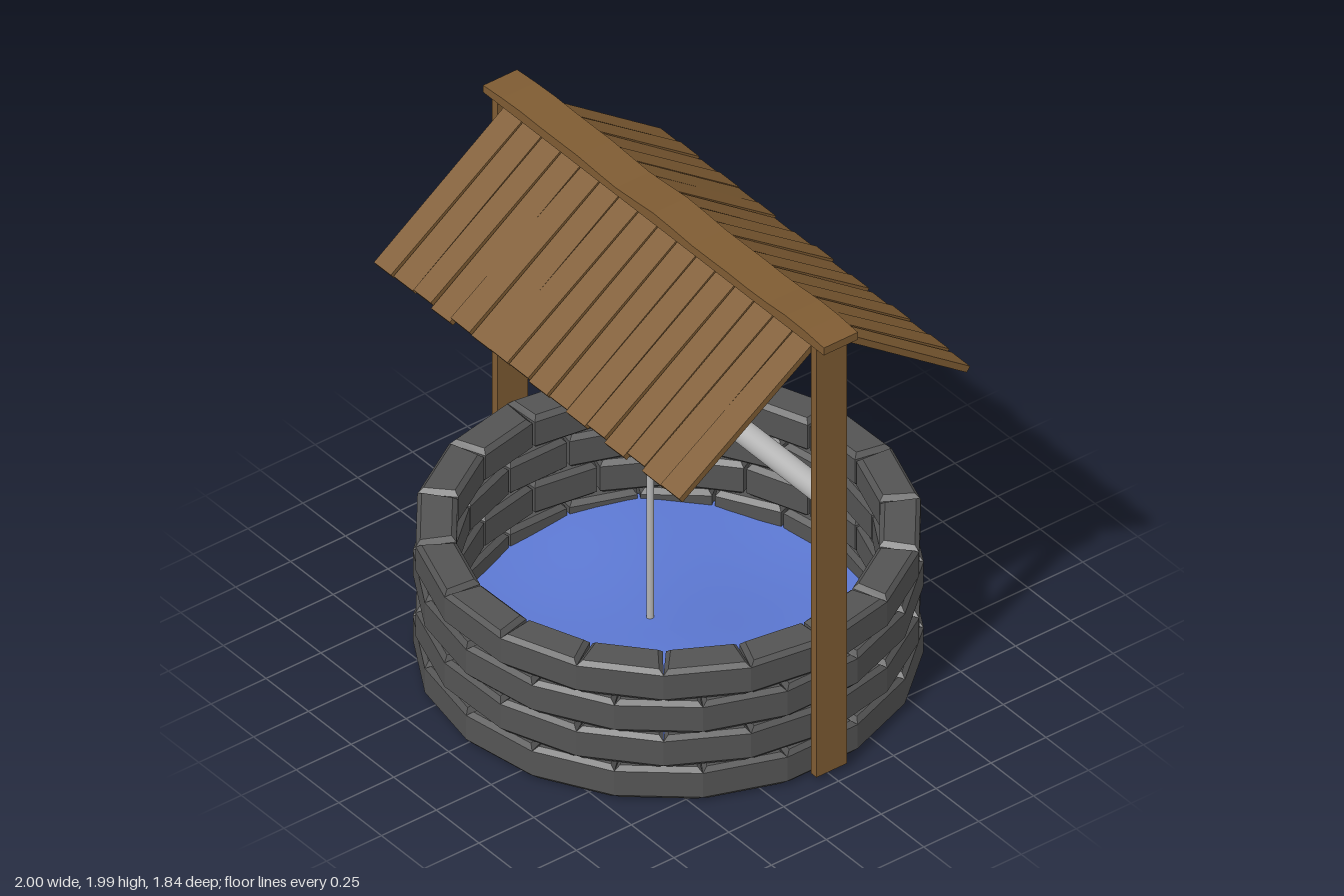
import * as THREE from 'three';

const mat = (name, color, extra = {}) => {
  const m = new THREE.MeshStandardMaterial({ color, ...extra });
  m.name = name;
  return m;
};

// Small seeded random in -1..1 for hand-made irregularity
function seeded(seed) {
  return () => {
    seed = (seed * 16807) % 2147483647;
    return (seed / 2147483647) * 2 - 1;
  };
}

// One bevelled wedge-shaped stone, outer face towards -z
function stoneGeometry(count, inner, outer, height, bevel) {
  const t = Math.tan(Math.PI / count);
  const r0 = inner + bevel, r1 = outer - bevel;
  const w0 = inner * t - bevel - 0.002, w1 = outer * t - bevel - 0.002;
  const shape = new THREE.Shape([
    new THREE.Vector2(-w0, r0), new THREE.Vector2(w0, r0),
    new THREE.Vector2(w1, r1), new THREE.Vector2(-w1, r1),
  ]);
  const g = new THREE.ExtrudeGeometry(shape, {
    depth: height - bevel * 2, bevelEnabled: true,
    bevelSize: bevel, bevelThickness: bevel, bevelSegments: 1,
  });
  g.translate(0, 0, bevel);
  g.rotateX(-Math.PI / 2);
  return g;
}

// Board hanging down along -y from its upper end, wider or narrower at the foot
function plankGeometry(topWidth, footWidth, length, thickness, skew) {
  const g = new THREE.BoxGeometry(1, length, thickness);
  g.translate(0, -length / 2, 0);
  const p = g.attributes.position;
  for (let i = 0; i < p.count; i++) {
    const foot = p.getY(i) < -length / 2;
    p.setX(i, p.getX(i) * (foot ? footWidth : topWidth) + (foot ? skew : 0));
    if (foot) p.setY(i, p.getY(i) + p.getX(i) * skew * 2);
  }
  g.computeVertexNormals();
  return g;
}

export function createModel() {
  const model = new THREE.Group();
  model.name = 'well';
  const wood = mat('wood', 0x7f5c33, { flatShading: true });
  const stone = mat('stone', 0x545454, { flatShading: true });
  const metal = mat('pale grey', 0xb4b4b4);
  const blue = mat('water blue', 0x5c78d2, { side: THREE.DoubleSide });
  const rand = seeded(4711);

  const add = (name, geometry, material, x = 0, y = 0, z = 0, parent = model) => {
    const m = new THREE.Mesh(geometry, material);
    m.name = name;
    m.position.set(x, y, z);
    parent.add(m);
    return m;
  };

  // Stone wall: four staggered rings
  const wall = new THREE.Group();
  wall.name = 'wall';
  model.add(wall);
  const count = 18, step = (Math.PI * 2) / count;
  const stoneGeo = stoneGeometry(count, 0.76, 0.908, 0.143, 0.018);
  for (let row = 0; row < 4; row++) {
    for (let i = 0; i < count; i++) {
      const s = add('stone', stoneGeo, stone, 0, row * 0.148, 0, wall);
      s.rotation.y = (i + (row % 2 ? 0 : 0.5)) * step + (row % 2 ? 0.02 : 0);
    }
  }

  // Rippled water surface
  const waterGeo = new THREE.RingGeometry(0, 0.8, 40, 10);
  waterGeo.rotateX(-Math.PI / 2);
  const wp = waterGeo.attributes.position;
  for (let i = 0; i < wp.count; i++) {
    const x = wp.getX(i), z = wp.getZ(i);
    wp.setY(i, 0.08 + 0.018 * Math.sin(5 * x + 2 * z) + 0.014 * Math.cos(6 * z - 3 * x));
  }
  waterGeo.computeVertexNormals();
  add('water', waterGeo, blue);

  // Posts
  for (const side of [-1, 1]) {
    add('post', new THREE.BoxGeometry(0.033, 1.935, 0.138), wood, side * 0.936, 0.985, -0.005);
  }

  // Ridge beam with an uneven top
  const beamGeo = new THREE.BoxGeometry(2, 0.045, 0.155, 18, 1, 1);
  const bp = beamGeo.attributes.position;
  for (let i = 0; i < bp.count; i++) {
    if (bp.getY(i) > 0) {
      const x = bp.getX(i);
      bp.setY(i, 0.0165 + 0.005 * Math.sin(x * 9 + 1) + 0.004 * Math.cos(x * 15));
    }
  }
  add('ridgeBeam', beamGeo, wood, 0, 1.967, -0.01);

  // Two sloping roofs of uneven planks
  const slope = Math.atan2(0.58, 0.41);
  for (const side of [1, -1]) {
    const roof = new THREE.Group();
    roof.name = side > 0 ? 'frontRoof' : 'backRoof';
    model.add(roof);
    for (let i = 0; i < 16; i++) {
      const foot = 0.106 + rand() * 0.008;
      const geo = plankGeometry(0.107, foot, 0.752 + rand() * 0.012, 0.026, rand() * 0.008);
      const p = add('plank', geo, wood, -0.845 + i * 0.1133, 1.935, side > 0 ? 0.022 : -0.042, roof);
      p.rotation.x = -side * (slope + rand() * 0.008);
    }
  }

  // Winding roller with turns of rope and the hanging rope
  const rollerGeo = new THREE.CylinderGeometry(0.046, 0.046, 1.84, 32);
  rollerGeo.rotateZ(Math.PI / 2);
  add('roller', rollerGeo, metal, 0, 1.24, 0);
  const turnGeo = new THREE.TorusGeometry(0.044, 0.011, 8, 28);
  turnGeo.rotateY(Math.PI / 2);
  for (let i = 0; i < 8; i++) {
    add('ropeTurn', turnGeo, metal, -0.83 + i * 0.1036, 1.24, 0);
  }
  add('rope', new THREE.CylinderGeometry(0.014, 0.014, 1.14, 16), metal, -0.105, 0.65, 0);

  return model;
}
